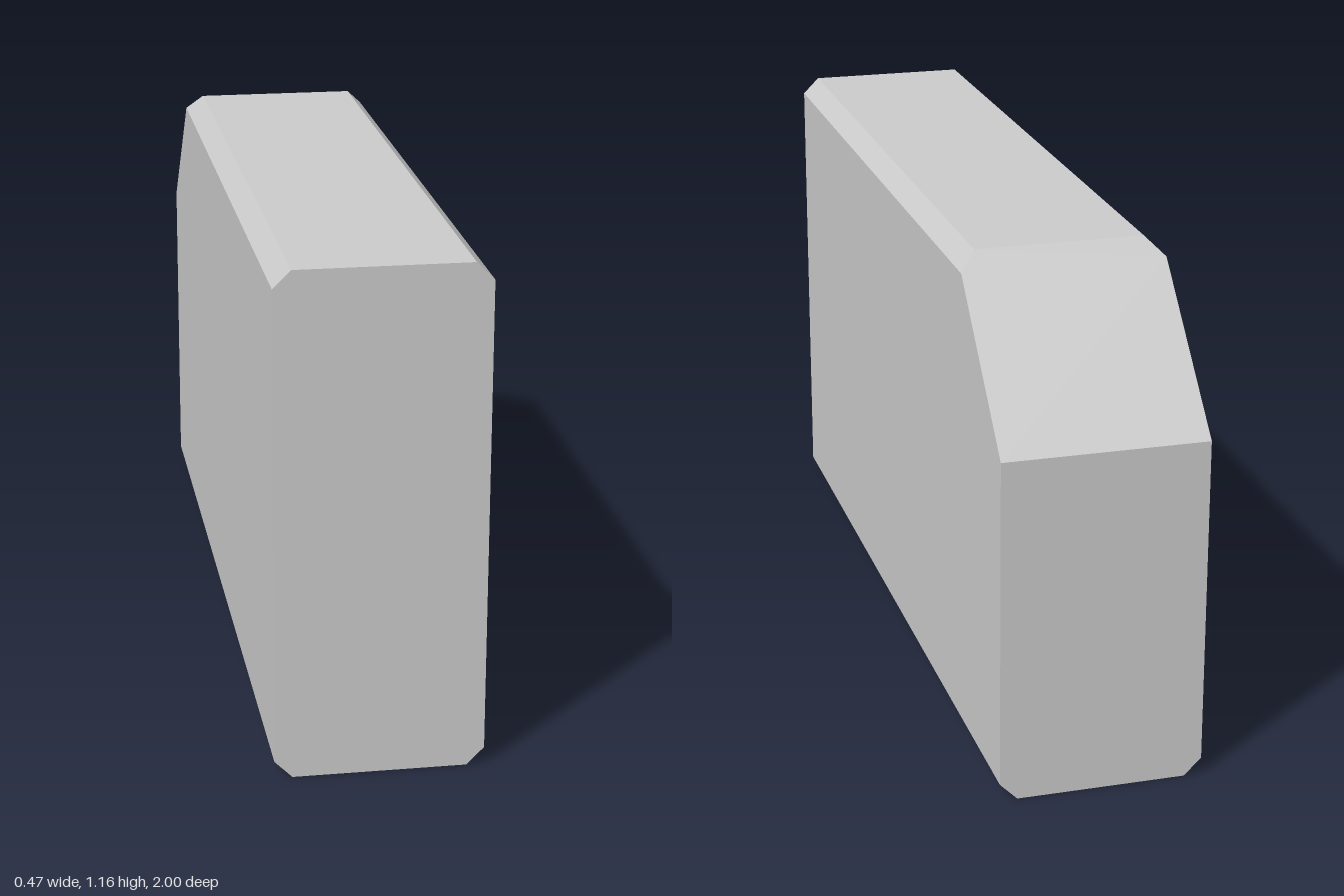
import * as THREE from 'three';
import { ConvexGeometry } from 'three/addons/geometries/ConvexGeometry.js';

export function createModel() {
  const halfWidth = 0.235, height = 1.163, bevel = 0.04, halfLength = 1;
  const slopeStart = 0.805; // height where the back starts to lean forward at 45 degrees

  // Right half of the bevelled cross-section, bottom to top
  const profile = [
    [halfWidth - bevel, 0],
    [halfWidth, bevel],
    [halfWidth, slopeStart],
    [halfWidth, height - bevel],
    [halfWidth - bevel, height],
  ];

  // Mirror the profile and place it at the front and at the sloped back
  const points = [];
  for (const [x, y] of profile) {
    for (const side of [-1, 1]) {
      if (y !== slopeStart) points.push(new THREE.Vector3(side * x, y, halfLength));
      points.push(new THREE.Vector3(side * x, y, -halfLength + Math.max(0, y - slopeStart)));
    }
  }

  const material = new THREE.MeshStandardMaterial({ color: 0xcccccc, flatShading: true });
  const block = new THREE.Mesh(new ConvexGeometry(points), material);
  block.name = 'bevelledBlock';

  const group = new THREE.Group();
  group.name = 'slopedBlock';
  group.add(block);
  return group;
}
